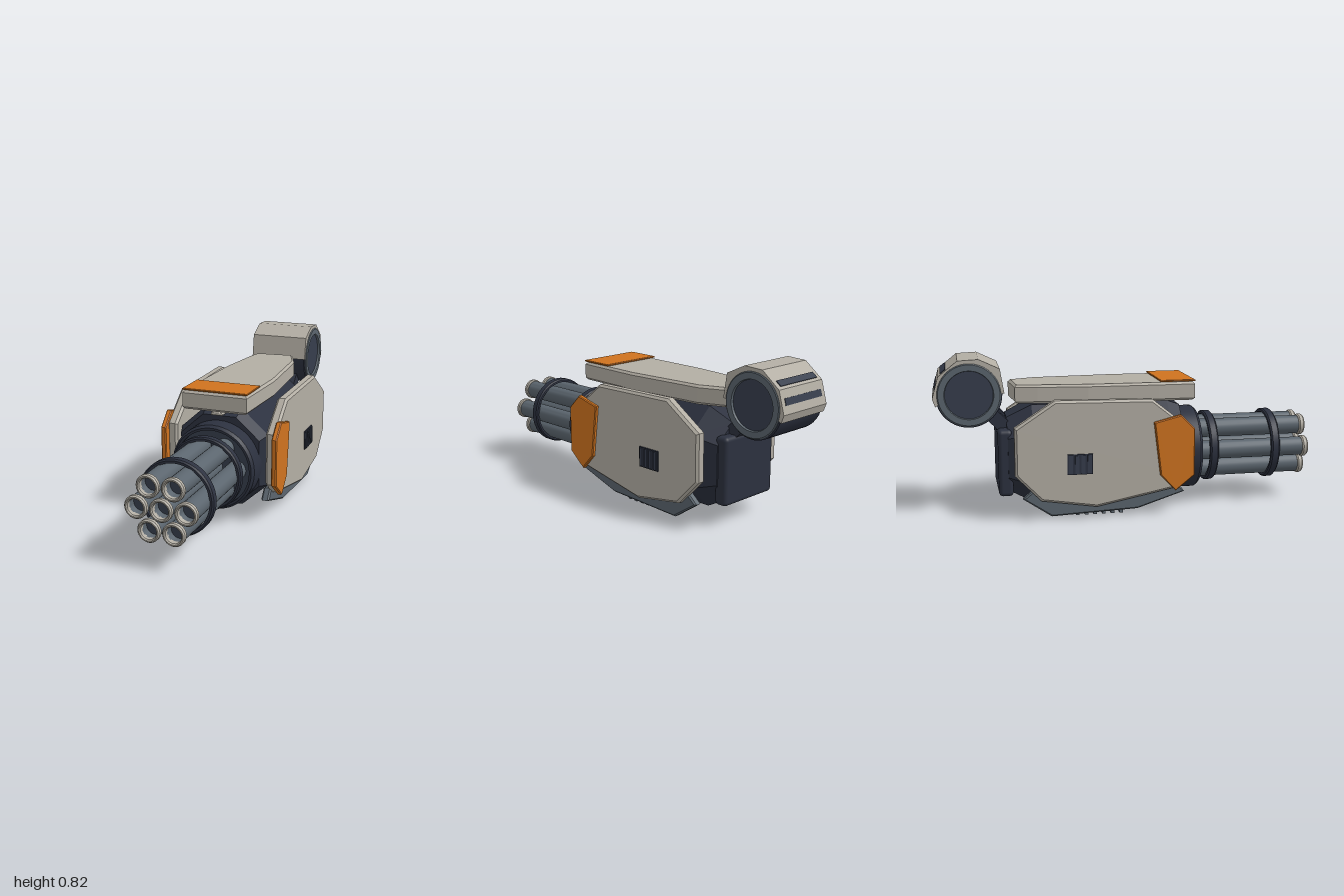
import * as THREE from 'three';
import { toCreasedNormals } from 'three/addons/utils/BufferGeometryUtils.js';
import { RoundedBoxGeometry } from 'three/addons/geometries/RoundedBoxGeometry.js';

function material(name, color) {
  const m = new THREE.MeshStandardMaterial({ color });
  m.name = name;
  return m;
}

const V = (a, b) => new THREE.Vector2(a, b);

// Extrusion centred on its depth, outline kept at full size despite the bevel
function slab(shape, depth, bevel) {
  const g = new THREE.ExtrudeGeometry(shape, {
    depth: depth - 2 * bevel, bevelEnabled: bevel > 0, bevelThickness: bevel,
    bevelSize: bevel, bevelOffset: -bevel, bevelSegments: 1, curveSegments: 24,
  });
  return g.translate(0, 0, -(depth - 2 * bevel) / 2);
}

const outline = (pts) => new THREE.Shape(pts.map(([a, b]) => V(a, b)));

// Plate drawn in (z, y), thick along x
const sidePlate = (shape, depth, bevel) => slab(shape, depth, bevel).rotateY(-Math.PI / 2);

// Plate drawn in (x, z), thick along y
const flatPlate = (pts, depth, bevel) =>
  slab(outline(pts.map(([x, z]) => [x, -z])), depth, bevel).rotateX(-Math.PI / 2);

// Turned part with crisp edges, profile as [radius, height]
const turned = (pts, sides) =>
  toCreasedNormals(new THREE.LatheGeometry(pts.map(([r, h]) => V(r, h)), sides), 0.6);
const turnedZ = (pts, sides) => turned(pts, sides).rotateX(Math.PI / 2);
const turnedX = (pts, sides) => turned(pts, sides).rotateZ(-Math.PI / 2);

// Faceted hull: one octagon scaled along z, sections listed front to back
function hullGeometry(sections, cy) {
  const oct = [[0.1, -0.26], [0.24, -0.135], [0.24, 0.135], [0.1, 0.26],
    [-0.1, 0.26], [-0.24, 0.135], [-0.24, -0.135], [-0.1, -0.26]];
  const p = [];
  const at = (s, i) => [oct[i % 8][0] * s[1], cy + oct[i % 8][1] * s[2], s[0]];
  const first = sections[0], last = sections[sections.length - 1];
  for (let i = 0; i < 8; i++) {
    p.push(0, cy, first[0], ...at(first, i), ...at(first, i + 1));
    p.push(0, cy, last[0], ...at(last, i + 1), ...at(last, i));
    for (let k = 0; k < sections.length - 1; k++) {
      const a = at(sections[k], i), b = at(sections[k + 1], i);
      const c = at(sections[k + 1], i + 1), d = at(sections[k], i + 1);
      p.push(...a, ...b, ...c, ...a, ...c, ...d);
    }
  }
  const g = new THREE.BufferGeometry();
  g.setAttribute('position', new THREE.Float32BufferAttribute(p, 3));
  g.computeVertexNormals();
  return g;
}

export function createModel() {
  const root = new THREE.Group();
  root.name = 'rotaryCannon';
  const armour = material('warmGreyArmour', 0xb3aea4);
  const orange = material('orangeAccent', 0xcf731f);
  const navy = material('darkNavy', 0x2c313f);
  const recess = material('recessNavy', 0x363d4c);
  const metal = material('gunmetal', 0x5b656e);

  function add(name, geometry, mat, x = 0, y = 0, z = 0, parent = root) {
    const m = new THREE.Mesh(geometry, mat);
    m.name = name;
    m.position.set(x, y, z);
    parent.add(m);
    return m;
  }
  const box = (w, h, d) => new THREE.BoxGeometry(w, h, d);

  // Hull and barrel housing
  add('hull', hullGeometry([[0.29, 0.9, 0.9], [0.22, 1, 1], [-0.5, 1, 1], [-0.63, 0.78, 0.75]], 0.31), navy);
  const axisY = 0.295;
  add('barrelHousing', turnedZ([[0.2, 0.2], [0.224, 0.22], [0.224, 0.38], [0.212, 0.395],
    [0.2, 0.395], [0.2, 0.37]], 48), navy, 0, axisY);
  add('housingFace', new THREE.CircleGeometry(0.201, 48), recess, 0, axisY, 0.372);

  // Barrel cluster: one in the middle, six around it
  const barrelGeo = turnedZ([[0.05, 0.37], [0.05, 0.975], [0.04, 0.975], [0.04, 0.93]], 28);
  const tipGeo = turnedZ([[0.04, 0.968], [0.052, 0.968], [0.057, 0.975], [0.057, 0.992],
    [0.051, 1], [0.045, 1], [0.04, 0.994], [0.04, 0.968]], 28);
  const boreGeo = new THREE.CircleGeometry(0.041, 28);
  const barrels = new THREE.Group();
  barrels.name = 'barrels';
  barrels.position.y = axisY;
  root.add(barrels);
  for (let i = 0; i < 7; i++) {
    const r = i ? 0.125 : 0, a = i * Math.PI / 3;
    const x = r * Math.cos(a), y = r * Math.sin(a);
    add('barrel', barrelGeo, metal, x, y, 0, barrels);
    add('muzzleRing', tipGeo, armour, x, y, 0, barrels);
    add('bore', boreGeo, recess, x, y, 0.932, barrels);
  }
  const bandGeo = turnedZ([[0.172, -0.024], [0.184, -0.024], [0.191, -0.016], [0.191, 0.016],
    [0.184, 0.024], [0.172, 0.024], [0.172, -0.024]], 48);
  for (const z of [0.81, 0.467]) add('barrelBand', bandGeo, navy, 0, 0, z, barrels);

  // Top armour with its orange panel, and the small sight tab
  add('topArmour', flatPlate([[-0.175, 0.355], [0.172, 0.355], [0.187, -0.025], [0.155, -0.465],
    [0.1, -0.605], [-0.115, -0.585], [-0.135, -0.47], [-0.165, -0.21], [-0.175, 0.16]], 0.098, 0.012),
  armour, 0, 0.628);
  add('topAccent', flatPlate([[-0.176, 0.355], [0.174, 0.355], [0.176, 0.17], [-0.176, 0.17]], 0.009, 0.002),
    orange, 0, 0.684);
  add('sightTab', new RoundedBoxGeometry(0.064, 0.014, 0.075, 2, 0.005), armour, 0, 0.562, 0.292);

  // Mirrored side armour
  const sideShape = outline([[0.28, 0.2], [0.28, 0.47], [0.1, 0.612], [-0.4, 0.62], [-0.605, 0.485],
    [-0.605, 0.24], [-0.475, 0.105], [-0.19, 0.06], [0.22, 0.14]]);
  const accentShape = outline([[0.32, 0.455], [0.245, 0.53], [0.105, 0.495], [0.14, 0.215],
    [0.22, 0.13], [0.32, 0.21]]);
  const skirtShape = outline([[0.28, 0.11], [0.24, 0.165], [-0.5, 0.165], [-0.565, 0.11],
    [-0.42, 0.012], [0.03, 0.03]]);
  const sideGeo = sidePlate(sideShape, 0.056, 0.012);
  const accentGeo = sidePlate(accentShape, 0.028, 0.005);
  const skirtGeo = sidePlate(skirtShape, 0.042, 0.008);
  for (const s of [1, -1]) {
    const side = new THREE.Group();
    side.name = s > 0 ? 'leftSide' : 'rightSide';
    root.add(side);
    add('sideArmour', sideGeo, armour, s * 0.272, 0, 0, side);
    add('sideAccent', accentGeo, orange, s * 0.304, 0, 0, side);
    add('lowerSkirt', skirtGeo, metal, s * 0.244, 0, 0, side);
    // Vent on the outer face
    add('sideVent', box(0.008, 0.105, 0.13), navy, s * 0.303, 0.292, -0.277, side);
    for (let i = 0; i < 4; i++)
      add('sideVentRib', box(0.012, 0.095, 0.02), recess, s * 0.306, 0.292, -0.229 - i * 0.032, side);
    // Vent facing the ground
    add('lowerVent', box(0.082, 0.024, 0.29), navy, s * 0.185, 0.031, -0.165, side);
    for (let i = 0; i < 6; i++)
      add('lowerVentRib', box(0.076, 0.02, 0.018), metal, s * 0.185, 0.01, -0.05 - i * 0.046, side);
  }

  // Rear block and the two struts up to the drum
  add('rearBlock', new RoundedBoxGeometry(0.36, 0.35, 0.075, 3, 0.022), navy, 0, 0.28, -0.643);
  for (const s of [1, -1])
    add('drumStrut', box(0.055, 0.07, 0.3), navy, s * 0.076, 0.485, -0.665).rotation.x = 0.78;

  // Drum lying across the rear
  const drumY = 0.64, drumZ = -0.817;
  add('drum', turnedX([[0.155, -0.163], [0.167, -0.155], [0.167, 0.155], [0.155, 0.163]], 40), navy, 0, drumY, drumZ);
  for (const s of [1, -1]) {
    const rim = turnedX([[0.12, 0.15], [0.16, 0.15], [0.16, 0.164], [0.155, 0.168], [0.124, 0.168], [0.12, 0.15]], 40);
    if (s < 0) rim.rotateY(Math.PI);
    add('drumRim', rim, metal, 0, drumY, drumZ);
    add('drumEnd', new THREE.CircleGeometry(0.122, 40).rotateY(s * Math.PI / 2), recess, s * 0.156, drumY, drumZ);
  }

  // Faceted drum cover with two slots
  const cover = outline([[-0.64, 0.645], [-0.66, 0.77], [-0.765, 0.82], [-0.87, 0.815],
    [-0.968, 0.737], [-1, 0.625], [-0.985, 0.585]]);
  cover.absarc(drumZ, drumY, 0.16, Math.PI * 1.09, 0.03, true);
  add('drumCover', sidePlate(cover, 0.326, 0), armour, 0, 0, 0);
  const slot = (y, z, tilt) => {
    add('coverSlot', box(0.275, 0.008, 0.034), recess, 0, y, z).rotation.x = tilt;
  };
  slot(0.758, -0.942, -Math.atan2(0.078, 0.098));
  slot(0.68, -0.983, -Math.atan2(0.112, 0.032));

  return root;
}
